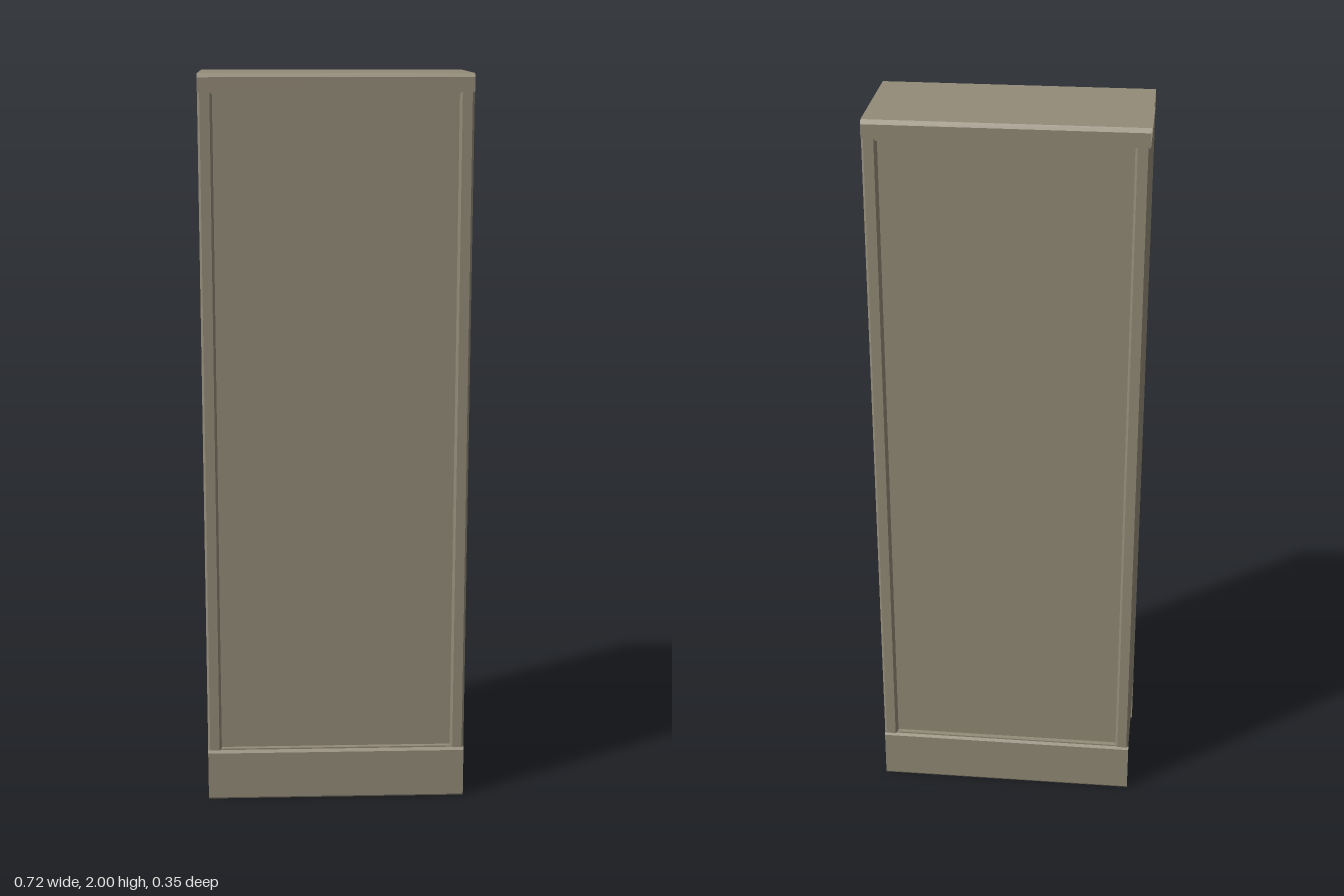
import * as THREE from 'three';

const W = 0.358;      // half width
const D = 0.176;      // half depth
const BOTTOM = 0.145; // underside of the cabinet body
const TOP = 1.952;    // upper end of the cabinet body

// Sheet folded along a [z, y] profile and stretched across the full width, open at its ends
function foldedSheet(profile) {
  const pos = [];
  for (let i = 0; i < profile.length - 1; i++) {
    const [z0, y0] = profile[i], [z1, y1] = profile[i + 1];
    pos.push(-W, y0, z0, W, y0, z0, W, y1, z1, -W, y0, z0, W, y1, z1, -W, y1, z1);
  }
  const g = new THREE.BufferGeometry();
  g.setAttribute('position', new THREE.Float32BufferAttribute(pos, 3));
  g.computeVertexNormals();
  return g;
}

export function createModel() {
  const group = new THREE.Group();
  const paint = new THREE.MeshStandardMaterial({ color: 0x948b78, side: THREE.DoubleSide });
  paint.name = 'taupe paint';

  const add = (name, geometry, y = 0) => {
    const m = new THREE.Mesh(geometry, paint);
    m.name = name;
    m.position.y = y;
    group.add(m);
    return m;
  };

  // Body: side walls with chamfered corner posts and recessed front and back panels
  const c = 0.006, recess = 0.016;
  const quarter = [
    [W, D - c], [W - c, D], [0.326, D], [0.32, D - c], [0.32, D - recess],
  ];
  const back = quarter.map(([x, z]) => [-x, z]).reverse();
  const half = [...quarter, ...back];
  const outline = [...half, ...half.map(([x, z]) => [-x, -z])];
  const shape = new THREE.Shape(outline.map(([x, z]) => new THREE.Vector2(x, z)));
  const body = new THREE.ExtrudeGeometry(shape, { depth: TOP - BOTTOM, bevelEnabled: false });
  body.rotateX(-Math.PI / 2);
  add('body', body, BOTTOM);

  // Thin plates closing the recesses above and below
  const plate = new THREE.BoxGeometry(2 * (W - c), 0.004, 2 * (D - 0.003));
  add('topPlate', plate, TOP - 0.002);
  add('bottomPlate', plate, BOTTOM + 0.002);

  // Cap: folded over the top with chamfered long edges
  add('cap', foldedSheet([
    [D, TOP], [D, 1.99], [D - 0.01, 2], [-D + 0.01, 2], [-D, 1.99], [-D, TOP],
  ]));

  // Kick boards: hollow folded strips along the front and back
  for (const s of [1, -1]) {
    const profile = [
      [D - 0.007, 0], [D - 0.002, 0], [D, 0.004], [D, 0.136],
      [D - 0.007, BOTTOM], [D - 0.007, 0],
    ].map(([z, y]) => [s * z, y]);
    if (s < 0) profile.reverse();
    add(s > 0 ? 'frontKickBoard' : 'backKickBoard', foldedSheet(profile));
  }
  return group;
}
